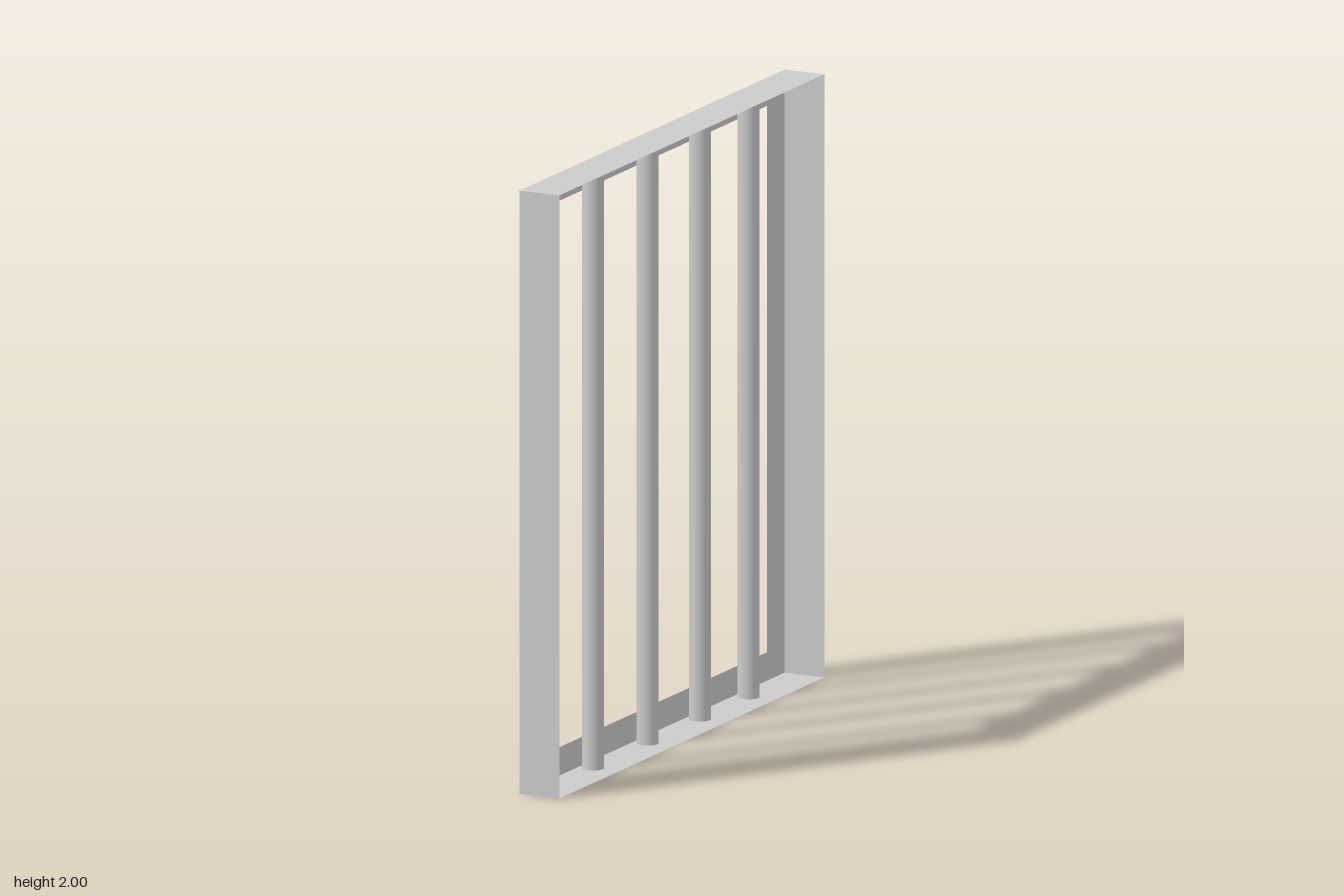
import * as THREE from 'three';

const H = 2, W = 1.87, D = 0.144;    // frame height, width (z) and depth (x)
const SIDE = 0.126, RAIL = 0.094;    // lip widths
const BAR_R = 0.036, BAR_H = 1.985, BAR_X = -0.022;

export function createModel() {
  const model = new THREE.Group();
  model.name = 'barredWindow';
  const sheet = new THREE.MeshStandardMaterial({ color: 0xcccccc, side: THREE.DoubleSide });
  const solid = new THREE.MeshStandardMaterial({ color: 0xcccccc });

  const add = (name, geometry, material, x, y, z) => {
    const mesh = new THREE.Mesh(geometry, material);
    mesh.name = name;
    mesh.position.set(x, y, z);
    model.add(mesh);
    return mesh;
  };

  // Thin outer walls of the frame, open towards +x
  for (const s of [1, -1]) {
    add(s > 0 ? 'topRail' : 'bottomRail',
      new THREE.PlaneGeometry(D, W).rotateX(-s * Math.PI / 2), sheet, 0, s > 0 ? H : 0, 0);
    add(s > 0 ? 'frontWall' : 'backWall',
      new THREE.PlaneGeometry(D, H).rotateY(s > 0 ? 0 : Math.PI), sheet, 0, H / 2, s * W / 2);
  }

  // Flat lip around the opening, along the -x edge of the walls
  const rect = (Type, w, h) => new Type([
    new THREE.Vector2(-w / 2, -h / 2), new THREE.Vector2(w / 2, -h / 2),
    new THREE.Vector2(w / 2, h / 2), new THREE.Vector2(-w / 2, h / 2),
  ]);
  const lip = rect(THREE.Shape, W, H);
  lip.holes.push(rect(THREE.Path, W - 2 * SIDE, H - 2 * RAIL));
  add('frameLip', new THREE.ShapeGeometry(lip).rotateY(-Math.PI / 2), sheet, -D / 2, H / 2, 0);

  // Round upright bars
  const bar = new THREE.CylinderGeometry(BAR_R, BAR_R, BAR_H, 32);
  [0.515, 0.13, -0.24, -0.583].forEach((z, i) =>
    add(`bar${i + 1}`, bar, solid, BAR_X, BAR_H / 2 + 0.001, z));

  return model;
}
